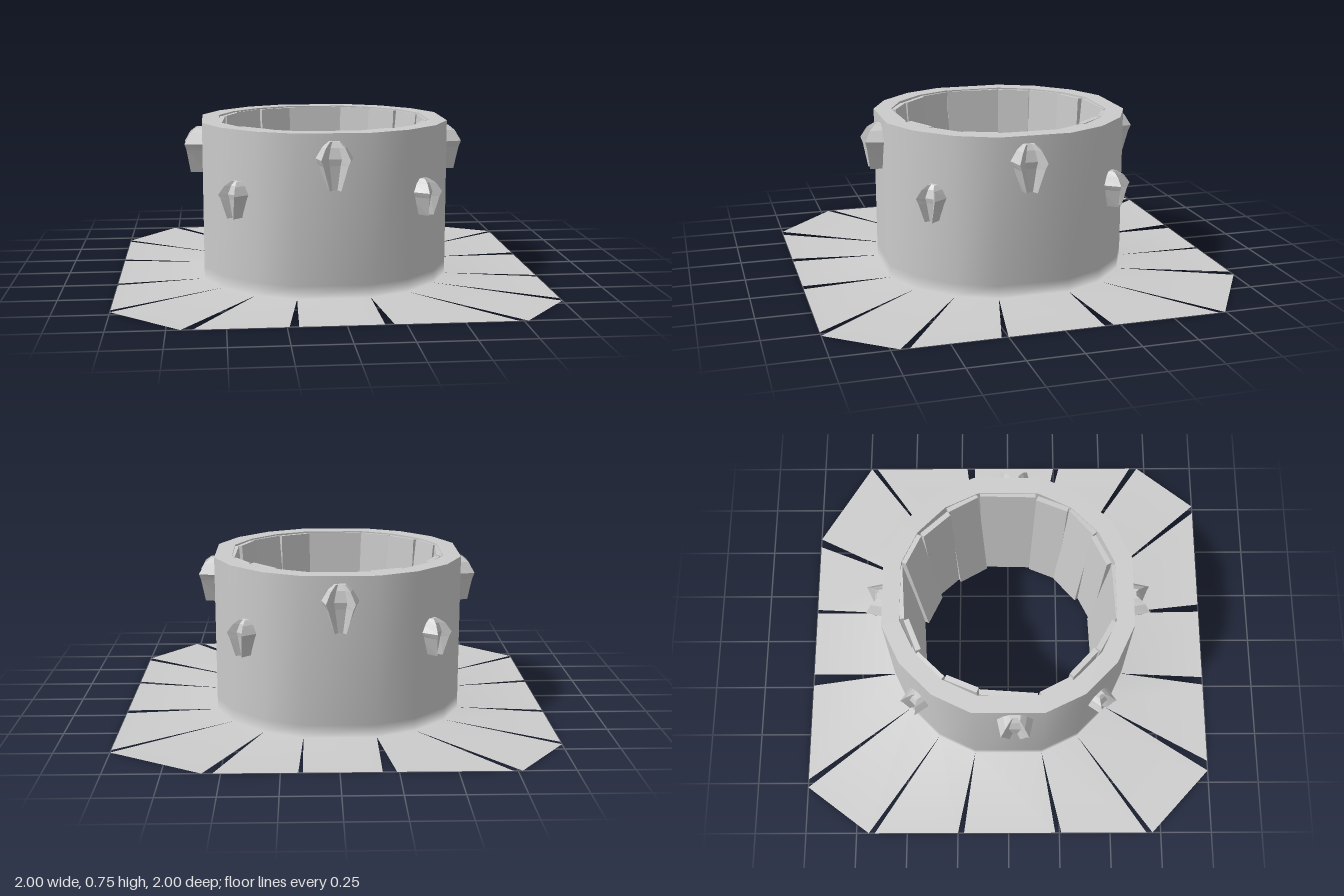
import * as THREE from 'three';

const material = new THREE.MeshStandardMaterial({ color: 0xcccccc, side: THREE.DoubleSide });
const faceted = new THREE.MeshStandardMaterial({ color: 0xcccccc, side: THREE.DoubleSide, flatShading: true });
const CX = -0.013;

// Sixteen corners: the four cardinal sides are wider than the others
const angles = [];
for (let q = 0; q < 4; q++) for (const a of [16, 35, 55, 74]) angles.push((a + q * 90) * Math.PI / 180);
const N = angles.length;

function makeGeometry(positions, index) {
  const g = new THREE.BufferGeometry();
  g.setAttribute('position', new THREE.Float32BufferAttribute(positions, 3));
  g.setIndex(index);
  g.computeVertexNormals();
  return g;
}

function addMesh(parent, name, geometry, mat = material) {
  const m = new THREE.Mesh(geometry, mat);
  m.name = name;
  parent.add(m);
  return m;
}

// Sweeps a [radius, height] profile around the sixteen corners
function sweep(profile) {
  const positions = [], index = [];
  for (const [r, y] of profile) for (const a of angles) positions.push(CX + r * Math.cos(a), y, r * Math.sin(a));
  for (let k = 0; k < profile.length - 1; k++) {
    for (let i = 0; i < N; i++) {
      const j = (i + 1) % N, b0 = k * N + i, b1 = k * N + j, t0 = b0 + N, t1 = b1 + N;
      index.push(b0, t0, b1, t0, t1, b1);
    }
  }
  return { positions, index };
}

// Both outer ends of each slit, as [x, z, x, z]
const slits = [
  [1, 0.25, 1, 0.28], [1, 0.67, 1, 0.71], [0.77, 1, 0.73, 1], [0.2, 1, 0.16, 1],
  [-0.2, 1, -0.24, 1], [-0.64, 1, -0.69, 1], [-1, 0.71, -1, 0.68], [-1, 0.26, -1, 0.23],
  [-1, -0.22, -1, -0.25], [-1, -0.66, -1, -0.69], [-0.77, -1, -0.73, -1], [-0.24, -1, -0.18, -1],
  [0.155, -1, 0.175, -1], [0.535, -1, 0.58, -1], [1, -0.745, 1, -0.715], [1, -0.22, 1, -0.18],
];

// Outer wall flowing into the slit ground skirt
function wallAndSkirt() {
  const { positions, index } = sweep([[0.605, 0], [0.605, 0.06], [0.605, 0.75]]);
  for (let i = 0; i < N; i++) {
    const j = (i + 1) % N, o = positions.length / 3;
    positions.push(slits[i][2], 0, slits[i][3], slits[j][0], 0, slits[j][1]);
    index.push(i, j, o, j, o + 1, o);
  }
  return makeGeometry(positions, index);
}

// Faceted ornament: raised cheeks either side of a recessed face
function ornamentGeometry() {
  const levels = [
    [-0.11, 0.035, 0.06], [0, 0.075, 0.078], [0.03, 0.09, 0.087],
    [0.08, 0.06, 0.06], [0.105, 0.03, 0.03],
  ];
  const positions = [], index = [], M = 6;
  for (const [y, w, d] of levels) {
    positions.push(-w, y, -0.03, -0.72 * w, y, d, -0.32 * w, y, 0.55 * d,
      0.32 * w, y, 0.55 * d, 0.72 * w, y, d, w, y, -0.03);
  }
  for (let k = 0; k < levels.length - 1; k++) {
    for (let i = 0; i < M - 1; i++) {
      const a = k * M + i, b = a + 1;
      index.push(a, b, a + M, b, b + M, a + M);
    }
  }
  // End caps, split so the recess stays open
  const top = (levels.length - 1) * M;
  for (const [a, b, c] of [[0, 1, 2], [0, 2, 3], [0, 3, 5], [3, 4, 5]]) {
    index.push(a, c, b, top + a, top + b, top + c);
  }
  return makeGeometry(positions, index);
}

export function createModel() {
  const group = new THREE.Group();
  group.name = 'chimneyCollar';

  addMesh(group, 'wallAndSkirt', wallAndSkirt());
  const rings = {
    rim: [[0.605, 0.75], [0.52, 0.75]],
    innerWall: [[0.52, 0.75], [0.52, 0]],
    underside: [[0.46, 0], [0.605, 0]],
  };
  for (const [name, profile] of Object.entries(rings)) {
    const { positions, index } = sweep(profile);
    addMesh(group, name, makeGeometry(positions, index));
  }

  // Planks lining the inside, leaning inward at the bottom
  const lining = new THREE.Group();
  lining.name = 'liningPlanks';
  lining.position.x = CX;
  for (let i = 0; i < N; i++) {
    const a0 = angles[i], a1 = i === N - 1 ? angles[0] + Math.PI * 2 : angles[i + 1];
    const mid = (a0 + a1) / 2, width = 2 * 0.48 * Math.sin((a1 - a0) / 2);
    const pivot = new THREE.Group();
    pivot.rotation.y = Math.PI / 2 - mid;
    const plank = addMesh(pivot, 'plank', new THREE.BoxGeometry(width, 0.74, 0.025), faceted);
    plank.position.set(0, 0.376, 0.468);
    plank.rotation.set(0.075 + 0.03 * Math.sin(i * 2.3), 0.07 * Math.sin(i * 4.1 + 1), 0);
    lining.add(pivot);
  }
  group.add(lining);

  // Large ornaments on the four sides, small ones lower on the diagonals
  const ornament = ornamentGeometry();
  for (let i = 0; i < 8; i++) {
    const a = i * Math.PI / 4, small = i % 2 === 1, r = small ? 0.596 : 0.58;
    const m = addMesh(group, small ? 'smallOrnament' : 'largeOrnament', ornament, faceted);
    m.position.set(CX + r * Math.sin(a), small ? 0.435 : 0.61, r * Math.cos(a));
    if (i === 2 || i === 6) m.position.z += 0.03;
    m.rotation.y = a;
    if (small) m.scale.set(0.76, 0.78, 0.9);
  }
  return group;
}
